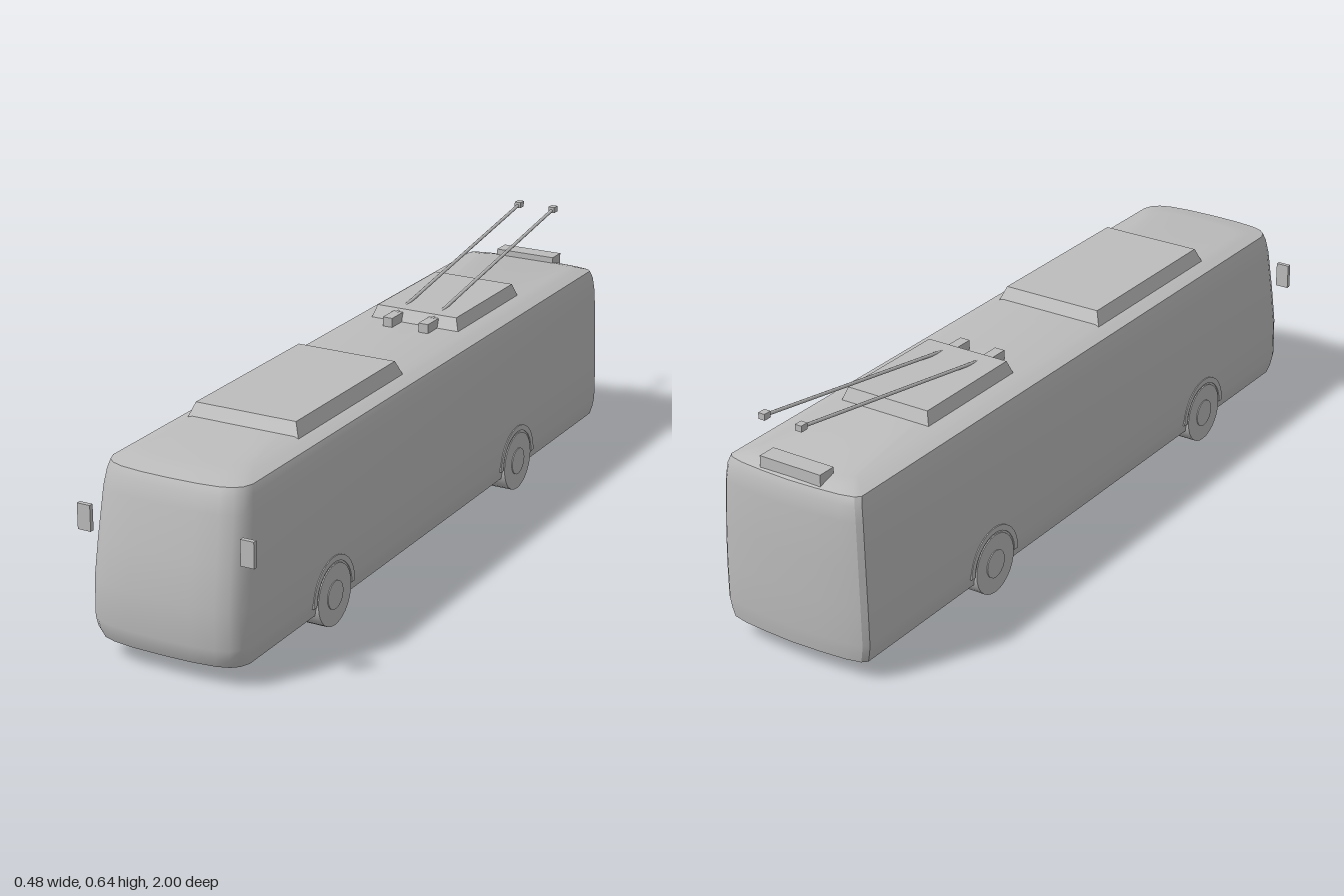
import * as THREE from 'three';
import { toCreasedNormals } from 'three/addons/utils/BufferGeometryUtils.js';

const paint = new THREE.MeshStandardMaterial({ color: 0xbcbcbc });
paint.name = 'light grey';

// Plan outline of the +x half: [share of half width, setback from front or back]
const FRONT = [[0, 0], [0.4, 0.002], [0.7, 0.009], [0.86, 0.02], [0.95, 0.036], [1, 0.06]];
const BACK = [[1, 0.03], [0.94, 0.018], [0.75, 0.009], [0.4, 0.003], [0, 0]];

// Levels of the body: [y, half width, front z, back z]
const LEVELS = [
  [0.052, 0.2, 0.985, -0.987], [0.075, 0.206, 0.995, -0.99], [0.1, 0.21, 0.999, -0.992],
  [0.2, 0.209, 0.998, -0.994], [0.3, 0.206, 0.982, -0.994], [0.42, 0.201, 0.96, -0.992],
  [0.46, 0.196, 0.95, -0.988], [0.481, 0.19, 0.942, -0.98],
  [0.49, 0.165, 0.9, -0.955], [0.497, 0.142, 0.86, -0.93],
];

function ringAt([y, w, front, back]) {
  const half = [
    ...FRONT.map(([s, d]) => [s * w, y, front - d]),
    ...BACK.map(([s, d]) => [s * w, y, back + d]),
  ];
  const mirrored = half.slice(1, -1).reverse().map(([x, h, z]) => [-x, h, z]);
  return [...half, ...mirrored];
}

function bodyGeometry() {
  const rings = LEVELS.map(ringAt);
  const n = rings[0].length;
  const points = rings.flat();
  const faces = [];
  for (let r = 0; r < rings.length - 1; r++) {
    for (let i = 0; i < n; i++) {
      const j = (i + 1) % n;
      const a = r * n + i, b = r * n + j;
      faces.push(a, b, b + n, a, b + n, a + n);
    }
  }
  // Floor and roof caps
  const top = (rings.length - 1) * n;
  const floorMid = points.push([0, LEVELS[0][0], 0]) - 1;
  const roofMid = points.push([0, LEVELS.at(-1)[0], 0]) - 1;
  for (let i = 0; i < n; i++) {
    const j = (i + 1) % n;
    faces.push(floorMid, j, i, roofMid, top + i, top + j);
  }
  const g = new THREE.BufferGeometry();
  g.setAttribute('position', new THREE.Float32BufferAttribute(points.flat(), 3));
  g.setIndex(faces);
  return toCreasedNormals(g, 0.5);
}

// Box whose top is smaller than its base by an inset on every side
function taperedBox(w, h, d, inset) {
  const g = new THREE.BoxGeometry(w, h, d);
  const p = g.attributes.position;
  for (let i = 0; i < p.count; i++) {
    if (p.getY(i) > 0) {
      p.setX(i, p.getX(i) - Math.sign(p.getX(i)) * inset);
      p.setZ(i, p.getZ(i) - Math.sign(p.getZ(i)) * inset);
    }
  }
  g.computeVertexNormals();
  return g;
}

// Half ring standing over a wheel, thin along x after turning
function archGeometry() {
  const s = new THREE.Shape();
  s.absarc(0, 0, 0.1, 0, Math.PI, false);
  s.absarc(0, 0, 0.085, Math.PI, 0, true);
  const g = new THREE.ExtrudeGeometry(s, { depth: 0.02, bevelEnabled: false, curveSegments: 16 });
  return g.rotateY(Math.PI / 2).translate(-0.01, 0, 0);
}

export function createModel() {
  const model = new THREE.Group();
  model.name = 'trolleybus';
  const add = (name, geometry, x = 0, y = 0, z = 0, parent = model) => {
    const mesh = new THREE.Mesh(geometry, paint);
    mesh.name = name;
    mesh.position.set(x, y, z);
    parent.add(mesh);
    return mesh;
  };

  add('body', bodyGeometry());

  // Roof equipment
  add('frontRoofUnit', taperedBox(0.31, 0.04, 0.52, 0.016), 0, 0.51, 0.358);
  add('rearRoofUnit', taperedBox(0.262, 0.04, 0.36, 0.014), 0, 0.51, -0.43);
  add('rearRoofBox', new THREE.BoxGeometry(0.175, 0.03, 0.05), 0, 0.498, -0.945);

  // Wheels with hubs and arches
  const tyre = new THREE.CylinderGeometry(0.08, 0.08, 0.081, 28).rotateZ(Math.PI / 2);
  const hub = new THREE.CylinderGeometry(0.037, 0.037, 0.02, 20).rotateZ(Math.PI / 2);
  const arch = archGeometry();
  for (const [end, z] of [['front', 0.55], ['rear', -0.455]]) {
    for (const [side, s] of [['Left', 1], ['Right', -1]]) {
      const wheel = new THREE.Group();
      wheel.name = `${end}${side}Wheel`;
      wheel.position.set(0, 0.08, z);
      model.add(wheel);
      add('tyre', tyre, s * 0.172, 0, 0, wheel);
      add('hub', hub, s * 0.205, 0, 0, wheel);
      add('wheelArch', arch, s * 0.202, 0, 0, wheel);
    }
  }

  // Current collector poles and wing mirrors
  const start = new THREE.Vector3(0, 0.517, -0.24);
  const end = new THREE.Vector3(0, 0.633, -0.985);
  const pole = new THREE.TubeGeometry(new THREE.LineCurve3(start, end), 1, 0.0045, 8);
  for (const [side, s] of [['left', 1], ['right', -1]]) {
    const x = s * 0.053;
    add(`${side}PoleBase`, new THREE.BoxGeometry(0.028, 0.028, 0.06), x, 0.508, -0.23);
    add(`${side}Pole`, pole, x);
    add(`${side}PoleHead`, new THREE.BoxGeometry(0.018, 0.016, 0.022), x, 0.634, -0.987);
    add(`${side}Mirror`, new THREE.BoxGeometry(0.036, 0.066, 0.012), s * 0.222, 0.346, 0.958);
  }
  return model;
}
